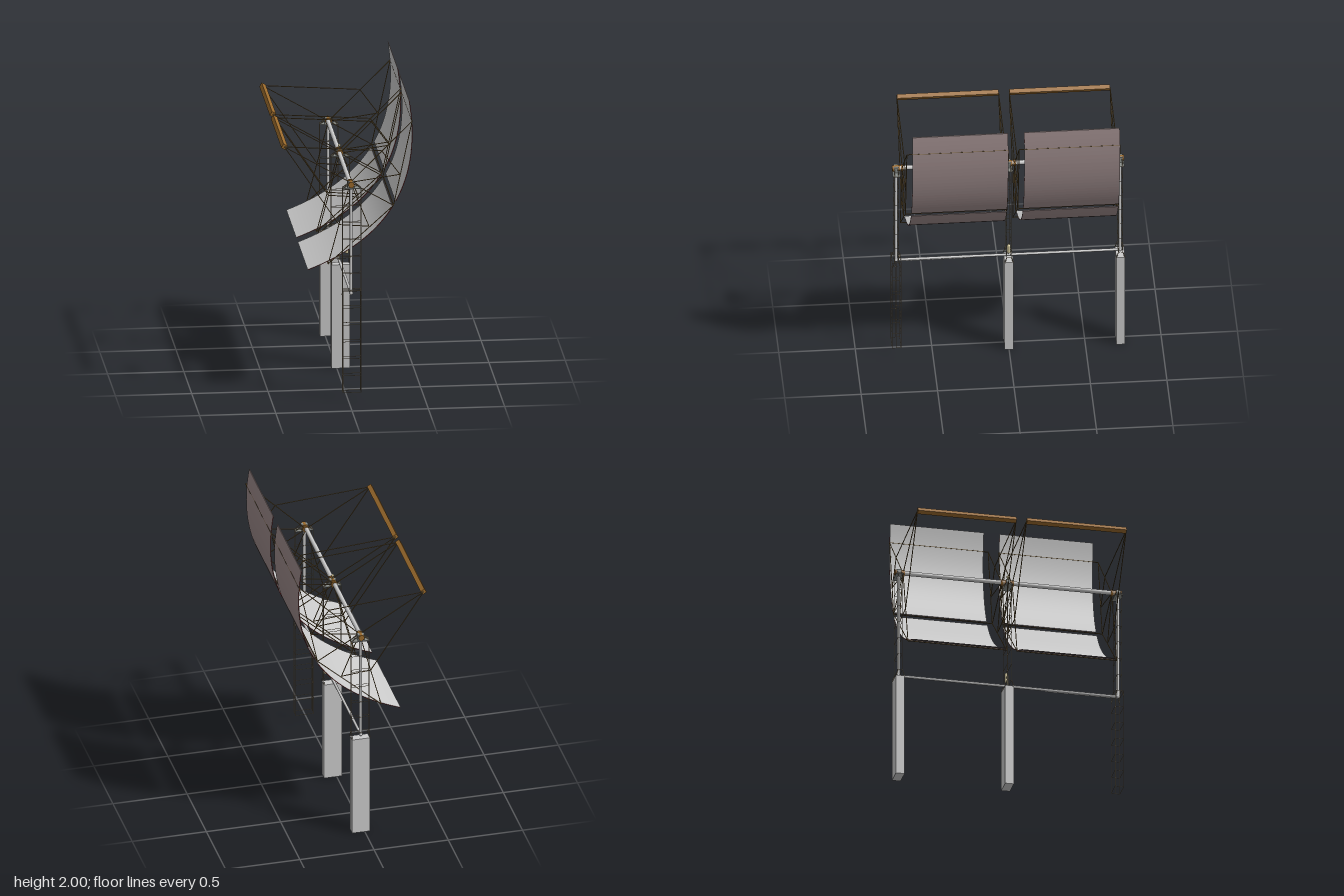
import * as THREE from 'three';

const mat = (color, side = THREE.FrontSide) => new THREE.MeshStandardMaterial({ color, side });
const grey = mat(0xcccccc), brown = mat(0x9a6a2c), strutMat = mat(0x7a6238), latticeMat = mat(0x9a8c74);
const backMat = mat(0x9a8888), rimMat = mat(0x8a2222), mirrorMat = mat(0xcccccc, THREE.DoubleSide);
const darkMat = mat(0x8c908c), valveMat = mat(0xcfc49a);

const AX = 0.02, AY = 1.465;          // rotation axis of the trough
const PX = 0.025;                     // centre of the pylons in x

function add(parent, name, geo, material, x = 0, y = 0, z = 0) {
  const m = new THREE.Mesh(geo, material);
  m.name = name;
  m.position.set(x, y, z);
  parent.add(m);
  return m;
}

// Straight round bar between two points
function bar(parent, name, a, b, r, material, sides = 6) {
  const p = new THREE.Vector3(...a), q = new THREE.Vector3(...b), d = q.clone().sub(p);
  const m = add(parent, name, new THREE.CylinderGeometry(r, r, d.length(), sides), material);
  m.position.copy(p).add(q).multiplyScalar(0.5);
  m.quaternion.setFromUnitVectors(new THREE.Vector3(0, 1, 0), d.normalize());
  return m;
}

// Point on the tilted parabola: t along the tangent, lift along its axis
function parabola(t, lift = 0) {
  const n = t * t / 1.6 + lift;
  return [0.31 + 0.504 * t - 0.863 * n, 1.3 + 0.863 * t + 0.504 * n];
}

// One curved mirror panel: thin backing plus reflective sheet
function mirrorPanel(parent, name, t0, t1, z0, z1) {
  const N = 24, inner = [], outer = [];
  for (let i = 0; i <= N; i++) {
    const t = t0 + (t1 - t0) * i / N;
    inner.push(new THREE.Vector2(...parabola(t)));
    outer.push(new THREE.Vector2(...parabola(t, -0.004)));
  }
  const shape = new THREE.Shape([...outer, ...inner.slice().reverse()]);
  const body = new THREE.ExtrudeGeometry(shape, { depth: z1 - z0, bevelEnabled: false });
  add(parent, name + 'Backing', body, [rimMat, backMat], 0, 0, z0);

  const sheet = new THREE.PlaneGeometry(1, 1, N, 1), pos = sheet.attributes.position;
  for (let i = 0; i < pos.count; i++) {
    const t = t0 + (t1 - t0) * (pos.getX(i) + 0.5);
    pos.setXYZ(i, ...parabola(t, 0.0015), pos.getY(i) > 0 ? z0 : z1);
  }
  sheet.computeVertexNormals();
  add(parent, name + 'Surface', sheet, mirrorMat);
}

// Truss joints and members in the x-y plane
const J = {
  axis: [AX, AY], receiver: [-0.412, 1.72], top: [0.425, 1.87], vertex: [0.303, 1.3], bottom: [-0.125, 0.915],
  upIn: [0.225, 1.675], upOut: [0.345, 1.51], lowIn: [-0.055, 1.18], lowOut: [0.142, 1.163],
};
const members = [
  ['axis', 'receiver'], ['axis', 'top'], ['axis', 'bottom'], ['axis', 'vertex'],
  ['axis', 'upOut'], ['axis', 'lowOut'], ['top', 'vertex'], ['vertex', 'bottom'],
  ['upIn', 'upOut'], ['lowIn', 'lowOut'], ['receiver', 'upIn'], ['receiver', 'lowIn'],
];

function collector(name, mz0, mz1, fz0, fz1) {
  const g = new THREE.Group();
  g.name = name;
  mirrorPanel(g, 'upperMirror', 0.02, 0.653, mz0, mz1);
  mirrorPanel(g, 'lowerMirror', -0.658, -0.022, mz0, mz1);
  // End trusses
  for (const z of [fz0, fz1]) {
    for (const [a, b] of members) bar(g, 'trussMember', [...J[a], z], [...J[b], z], 0.003, strutMat);
    bar(g, 'hubCollar', [AX, AY, z - 0.008], [AX, AY, z + 0.008], 0.022, brown, 16);
  }
  // Purlins joining the two trusses
  for (const k of ['top', 'vertex', 'bottom']) bar(g, 'purlin', [...J[k], fz0], [...J[k], fz1], 0.0035, strutMat);
  // Receiver at the focus
  const r = add(g, 'receiver', new THREE.BoxGeometry(0.03, 0.03, fz1 - fz0), brown, ...J.receiver, (fz0 + fz1) / 2);
  r.rotation.z = -0.53;
  return g;
}

// Lattice tower section with corner posts, rungs on four sides
function lattice(parent, name, z, hx, hz, y0, y1, bays, midPosts) {
  const g = new THREE.Group();
  g.name = name;
  const R = 0.0018;
  const corners = [[-hx, -hz], [hx, -hz], [hx, hz], [-hx, hz]];
  for (const [x, d] of corners) bar(g, 'cornerPost', [PX + x, y0, z + d], [PX + x, y1, z + d], R, latticeMat, 4);
  if (midPosts) for (const x of [-hx, hx]) bar(g, 'middlePost', [PX + x, y0, z], [PX + x, y1, z], R, latticeMat, 4);
  for (let i = 0; i <= bays; i++) {
    const y = y0 + (y1 - y0) * i / bays;
    corners.forEach(([x, d], k) => {
      const [x2, d2] = corners[(k + 1) % 4];
      bar(g, 'rung', [PX + x, y, z + d], [PX + x2, y, z + d2], R, latticeMat, 4);
    });
  }
  parent.add(g);
}

// Four converging legs between two rectangles
function taper(parent, name, z, y0, hx0, hz0, y1, hx1, hz1) {
  for (const sx of [-1, 1]) for (const sz of [-1, 1])
    bar(parent, name, [PX + sx * hx0, y0, z + sz * hz0], [PX + sx * hx1, y1, z + sz * hz1], 0.003, latticeMat, 4);
}

function pylon(name, z, concrete) {
  const g = new THREE.Group();
  g.name = name;
  if (concrete) add(g, 'concretePier', new THREE.BoxGeometry(0.12, 0.705, 0.058), grey, PX, 0.3525, z);
  else lattice(g, 'lowerLattice', z, 0.06, 0.029, 0.055, 0.745, 6, true);
  taper(g, 'footBracket', z, 0.705, 0.06, 0.028, 0.745, 0.06, 0.015);
  lattice(g, 'upperLattice', z, 0.06, 0.014, 0.745, 1.44, 6, false);
  // Bearing head
  taper(g, 'headBracket', z, 1.44, 0.06, 0.014, 1.472, 0.02, 0.012);
  add(g, 'headPlate', new THREE.BoxGeometry(0.12, 0.005, 0.05), darkMat, PX, 1.44, z);
  add(g, 'bearingBlock', new THREE.BoxGeometry(0.046, 0.042, 0.03), darkMat, AX, 1.462, z);
  bar(g, 'bearingRing', [AX, AY, z - 0.025], [AX, AY, z + 0.025], 0.02, brown, 16);
  return g;
}

export function createModel() {
  const model = new THREE.Group();
  model.name = 'parabolicTrough';
  const ZF = 0.735, ZB = -0.73;

  model.add(pylon('frontPylon', ZF, false), pylon('middlePylon', 0, true), pylon('rearPylon', ZB, true));
  model.add(collector('frontCollector', 0.032, 0.658, 0.03, 0.695));
  model.add(collector('rearCollector', -0.698, -0.073, -0.699, -0.04));

  // Torque tube and fluid pipes
  bar(model, 'torqueTube', [AX - 0.003, AY, ZB - 0.01], [AX - 0.003, AY, ZF + 0.01], 0.015, grey, 20);
  bar(model, 'supplyPipe', [AX, 0.724, ZB], [AX, 0.724, ZF], 0.009, grey, 12);
  bar(model, 'drainRod', [AX, 0.712, 0.25], [AX, 0.712, ZF], 0.003, grey, 8);
  for (const [z, r] of [[ZF, 0.011], [ZB, 0.01]]) {
    bar(model, 'riserPipe', [AX, 0.724, z], [AX, 1.47, z], r, grey, 12);
    add(model, 'pipeElbow', new THREE.SphereGeometry(r * 1.2, 12, 8), grey, AX, 0.724, z);
  }

  // Pump beside the middle pylon
  add(model, 'pump', new THREE.CapsuleGeometry(0.012, 0.046, 6, 12), valveMat, 0.068, 0.805, 0);
  bar(model, 'pumpPipe', [AX, 0.8, 0], [0.068, 0.8, 0], 0.004, valveMat, 8);
  bar(model, 'pumpFeed', [AX, 0.724, 0], [AX, 0.8, 0], 0.005, valveMat, 8);

  // Sensor pin above the middle bearing
  bar(model, 'sensorPin', [AX, 1.47, 0], [AX, 1.51, 0], 0.004, valveMat, 8);
  add(model, 'sensorHead', new THREE.SphereGeometry(0.009, 12, 8), valveMat, AX, 1.51, 0);
  return model;
}
